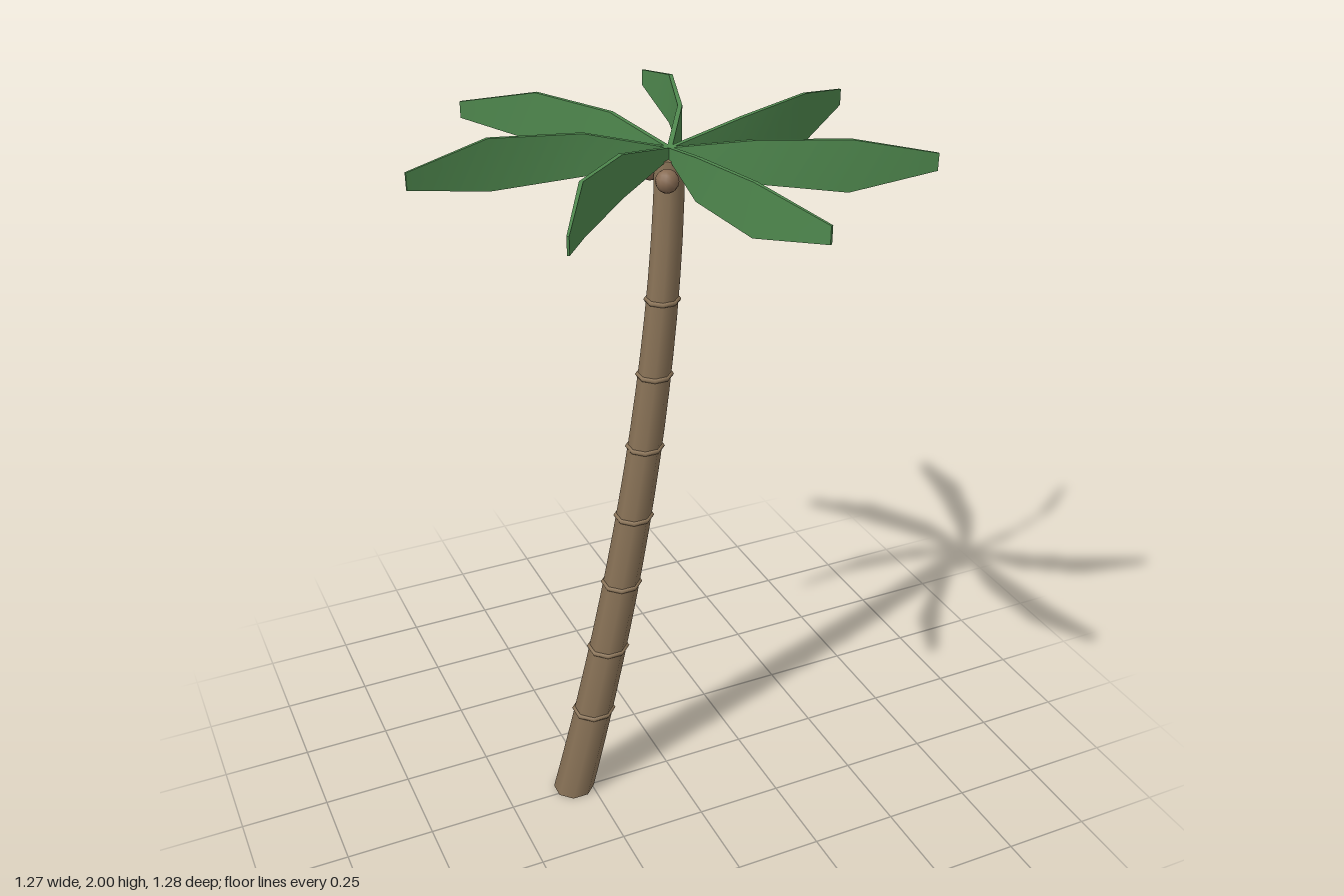
import * as THREE from 'three';

const material = (name, color) => {
  const m = new THREE.MeshStandardMaterial({ color });
  m.name = name;
  return m;
};

const CENTRE_X = 0.015, CENTRE_Z = -0.016, TRUNK_TOP = 1.92, SIDES = 8;

// Trunk bend and taper by height
const bend = y => CENTRE_X - 0.315 * Math.pow(Math.max(0, 1 - y / 1.9), 1.65);
const radius = y => 0.06 - 0.022 * (y / TRUNK_TOP);

function trunkGeometry() {
  const g = new THREE.CylinderGeometry(radius(TRUNK_TOP), radius(0), TRUNK_TOP, SIDES, 18, false, Math.PI / SIDES);
  g.translate(0, TRUNK_TOP / 2, 0);
  const p = g.attributes.position;
  for (let i = 0; i < p.count; i++) p.setX(i, p.getX(i) + bend(p.getY(i)));
  return g;
}

// Upright blade curving sideways: [x, z, half height, half thickness] per section
function frondGeometry() {
  const sections = [
    [0, 0, 0.012, 0.0065],
    [0.211, -0.025, 0.054, 0.006],
    [0.435, -0.105, 0.066, 0.005],
    [0.615, -0.23, 0.022, 0.003],
  ];
  const corner = (i, up, side) => {
    const [x, z, h, t] = sections[i];
    const a = sections[Math.max(0, i - 1)], b = sections[Math.min(sections.length - 1, i + 1)];
    const dx = b[0] - a[0], dz = b[1] - a[1], len = Math.hypot(dx, dz);
    return [x - dz / len * t * side, up * h, z + dx / len * t * side];
  };
  const positions = [], index = [];
  // Each strip joins a low and a high edge, keeping the blade's rims sharp
  const strip = (lo, hi) => {
    const start = positions.length / 3;
    sections.forEach((_, i) => positions.push(...corner(i, ...lo), ...corner(i, ...hi)));
    for (let i = 0; i < sections.length - 1; i++) {
      const k = start + i * 2;
      index.push(k, k + 2, k + 3, k, k + 3, k + 1);
    }
  };
  strip([-1, 1], [1, 1]);
  strip([1, -1], [-1, -1]);
  strip([1, 1], [1, -1]);
  strip([-1, -1], [-1, 1]);
  // Blunt tip
  const k = positions.length / 3, tip = sections.length - 1;
  [[-1, -1], [1, -1], [1, 1], [-1, 1]].forEach(c => positions.push(...corner(tip, ...c)));
  index.push(k, k + 1, k + 2, k, k + 2, k + 3);
  const g = new THREE.BufferGeometry();
  g.setAttribute('position', new THREE.Float32BufferAttribute(positions, 3));
  g.setIndex(index);
  g.computeVertexNormals();
  return g;
}

export function createModel() {
  const model = new THREE.Group();
  model.name = 'palmTree';
  const bark = material('bark', 0x8c7559);
  const leaf = material('leafGreen', 0x4f884e);
  const shell = material('coconutBrown', 0x876b53);

  const add = (name, geometry, mat, x, y, z) => {
    const mesh = new THREE.Mesh(geometry, mat);
    mesh.name = name;
    mesh.position.set(x, y, z);
    model.add(mesh);
    return mesh;
  };

  add('trunk', trunkGeometry(), bark, 0, 0, CENTRE_Z);

  // Bark rings
  for (let i = 0; i < 7; i++) {
    const y = 0.275 + i * 0.2115;
    const ring = new THREE.TorusGeometry(radius(y), 0.007, 6, SIDES);
    ring.rotateX(Math.PI / 2).rotateY(Math.PI / SIDES);
    add('barkRing', ring, bark, bend(y), y, CENTRE_Z);
  }

  // Coconuts around the crown
  const nut = new THREE.SphereGeometry(0.03, 12, 8);
  for (let i = 0; i < 3; i++) {
    const a = i * Math.PI * 2 / 3;
    add('coconut', nut, shell, CENTRE_X + Math.cos(a) * 0.061, 1.88, CENTRE_Z + Math.sin(a) * 0.061);
  }

  // Fronds fanned around the crown
  const frond = frondGeometry();
  for (let i = 0; i < 7; i++) {
    add('frond', frond, leaf, CENTRE_X, 1.934, CENTRE_Z).rotation.y = -i * Math.PI * 2 / 7;
  }
  return model;
}
